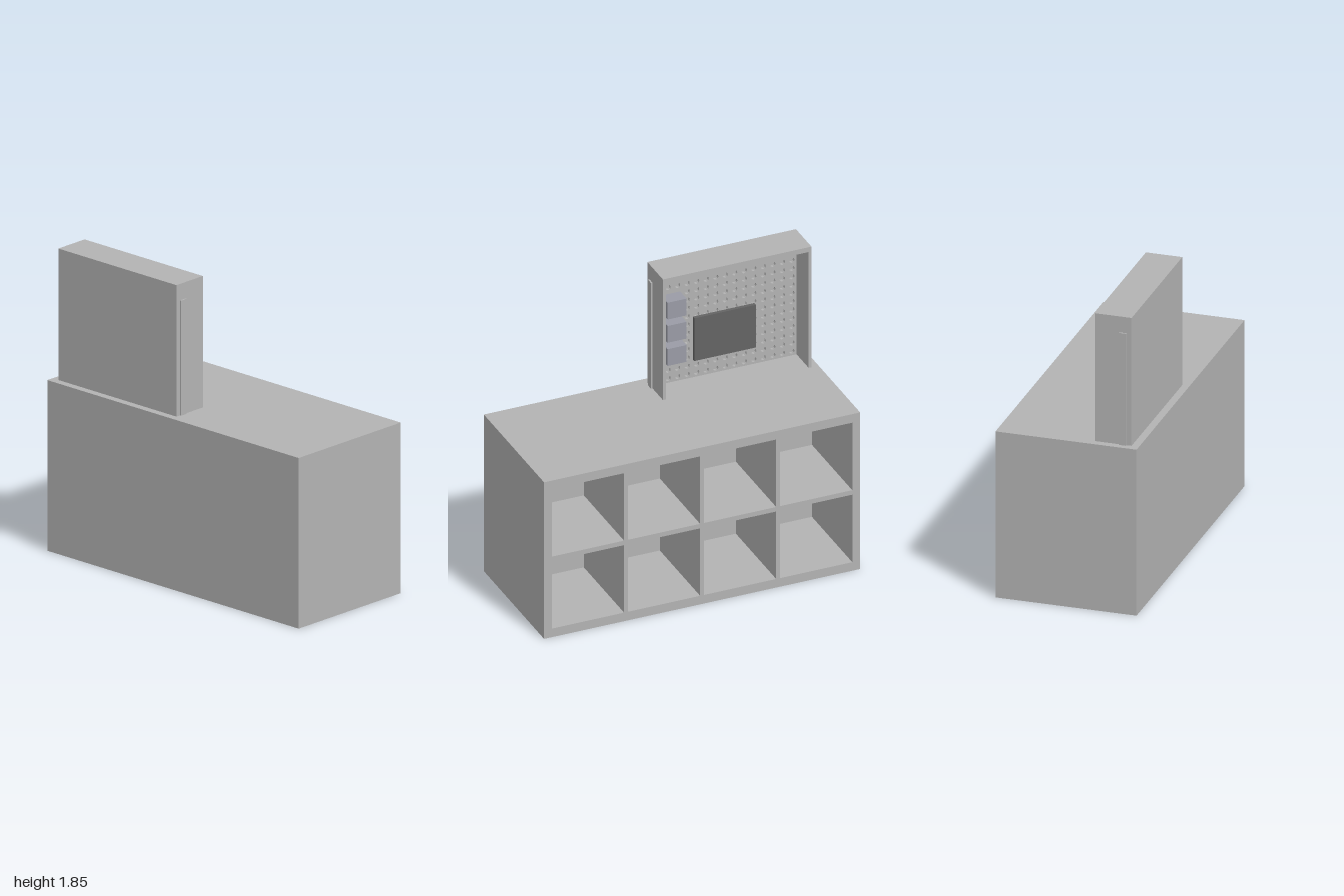
import * as THREE from 'three';

const material = (name, color) => {
  const m = new THREE.MeshStandardMaterial({ color });
  m.name = name;
  return m;
};

// Closed rectangle, used as an outline or a hole
function rect(Type, x0, x1, y0, y1) {
  const p = new Type();
  p.moveTo(x0, y0);
  p.lineTo(x1, y0);
  p.lineTo(x1, y1);
  p.lineTo(x0, y1);
  p.closePath();
  return p;
}

export function createModel() {
  const grey = material('panel grey', 0xb3b3b3);
  const dark = material('dark grey', 0x646464);
  const blueGrey = material('blue grey', 0x9a9ca6);
  const model = new THREE.Group();
  model.name = 'counterWithPegboard';

  const add = (parent, name, geometry, mat) => {
    const mesh = new THREE.Mesh(geometry, mat);
    mesh.name = name;
    parent.add(mesh);
    return mesh;
  };
  // Box given by its limits on each axis
  const box = (parent, name, x0, x1, y0, y1, z0, z1, mat = grey) => {
    const g = new THREE.BoxGeometry(x1 - x0, y1 - y0, z1 - z0);
    g.translate((x0 + x1) / 2, (y0 + y1) / 2, (z0 + z1) / 2);
    return add(parent, name, g, mat);
  };
  const extrude = (shape, depth) =>
    new THREE.ExtrudeGeometry(shape, { depth, bevelEnabled: false, curveSegments: 5 });

  // Counter
  const H = 1.045, Z = 0.43;
  const counter = new THREE.Group();
  counter.name = 'counter';
  model.add(counter);

  // Rear shelving: four by two open compartments
  const grid = rect(THREE.Shape, -1, 1, 0, H);
  const mx = 0.05, my = 0.057, gapX = 0.025, gapY = 0.03;
  const w = (2 - 2 * mx - 3 * gapX) / 4;
  const h = (H - 2 * my - gapY) / 2;
  for (let i = 0; i < 4; i++) {
    for (let j = 0; j < 2; j++) {
      const x = -1 + mx + i * (w + gapX);
      const y = my + j * (h + gapY);
      grid.holes.push(rect(THREE.Path, x, x + w, y, y + h));
    }
  }
  add(counter, 'shelving', extrude(grid, Z + 0.145).translate(0, 0, -Z), grey);

  // Front section with two bays that are open underneath
  const plan = rect(THREE.Shape, -1, 1, -Z, -0.145);
  plan.holes.push(rect(THREE.Path, -0.95, -0.025, -0.387, -0.162));
  plan.holes.push(rect(THREE.Path, 0.025, 0.95, -0.387, -0.162));
  add(counter, 'frontBays', extrude(plan, H - 0.04).rotateX(-Math.PI / 2), grey);
  box(counter, 'frontTop', -1, 1, H - 0.04, H, 0.145, Z);

  // Raised cabinet, open at the back
  const X0 = -0.955, X1 = -0.015, T = 1.85, B = 0.163, F = 0.385, t = 0.018;
  const cabinet = new THREE.Group();
  cabinet.name = 'raisedCabinet';
  model.add(cabinet);
  box(cabinet, 'frontPanel', X0, X1, H, T, 0.355, F);
  box(cabinet, 'topPanel', X0, X1, T - 0.032, T, B, 0.355);
  box(cabinet, 'sidePanelRight', X0, X0 + t, H, T - 0.032, B, 0.355);
  box(cabinet, 'sidePanelLeft', X1 - t, X1, H, T - 0.032, B, 0.355);
  box(cabinet, 'lightBar', X0 + 0.05, X1 - 0.05, T - 0.045, T - 0.032, 0.22, 0.28);

  // Slide rails on both sides
  box(cabinet, 'railRight', X0 - 0.01, X0, H, 1.75, 0.31, 0.355);
  box(cabinet, 'railLeft', X1, X1 + 0.01, H, 1.75, 0.31, 0.355);

  // Perforated board
  const bx0 = X0 + t, bx1 = X1 - t, by1 = T - 0.032;
  const board = rect(THREE.Shape, bx0, bx1, H, by1);
  const cols = 15, rows = 14;
  for (let i = 0; i < cols; i++) {
    for (let j = 0; j < rows; j++) {
      const hole = new THREE.Path();
      const x = bx0 + (i + 0.5) * (bx1 - bx0) / cols;
      const y = H + (j + 0.5) * (by1 - H) / rows;
      hole.absarc(x, y, 0.017, 0, Math.PI * 2, true);
      board.holes.push(hole);
    }
  }
  add(cabinet, 'pegboard', extrude(board, 0.02).translate(0, 0, 0.335), grey);

  // Screen and three storage bins on the board
  box(cabinet, 'screen', -0.67, -0.28, 1.165, 1.45, 0.312, 0.335, dark);
  for (let i = 0; i < 3; i++) {
    const y = 1.525 - i * 0.155;
    box(cabinet, 'bin' + (i + 1), -0.2, -0.08, y, y + 0.112, 0.243, 0.335, blueGrey);
  }
  return model;
}
